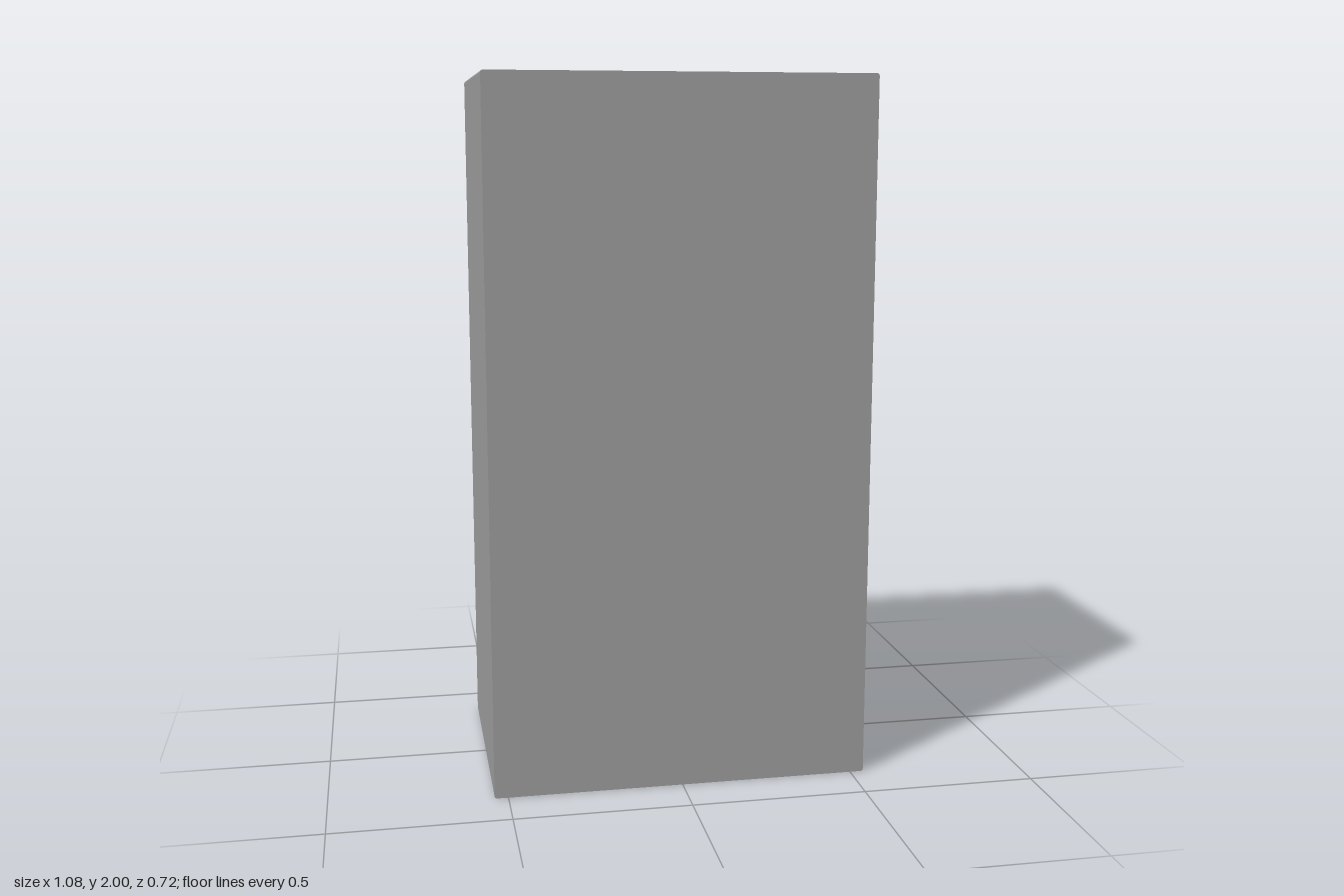
import * as THREE from 'three';
import { RoundedBoxGeometry } from 'three/addons/geometries/RoundedBoxGeometry.js';

const FRONT = 0.352, BACK = -0.357, DEPTH = 0.014, FLOOR = FRONT - DEPTH;
const mat = new THREE.MeshStandardMaterial({ color: 0x9b9b9b, side: THREE.DoubleSide });

function add(parent, name, geometry, x = 0, y = 0, z = 0) {
  const mesh = new THREE.Mesh(geometry, mat);
  mesh.name = name;
  mesh.position.set(x, y, z);
  parent.add(mesh);
}

// Rounded rectangle path, shrunk by an inset
function roundRect(PathType, [x0, x1, y0, y1, r], inset = 0) {
  const a = x0 + inset, b = x1 - inset, c = y0 + inset, d = y1 - inset;
  const q = Math.max(r - inset, 0.004);
  const p = new PathType();
  p.absarc(b - q, d - q, q, 0, Math.PI / 2);
  p.absarc(a + q, d - q, q, Math.PI / 2, Math.PI);
  p.absarc(a + q, c + q, q, Math.PI, Math.PI * 1.5);
  p.absarc(b - q, c + q, q, Math.PI * 1.5, Math.PI * 2);
  p.closePath();
  return p;
}

// Curved wall running from the frame face down to the floor of a recess
function recessWall(rect, slope) {
  const steps = 6, pos = [], idx = [];
  let n = 0;
  for (let i = 0; i <= steps; i++) {
    const t = (i / steps) * Math.PI / 2;
    const ring = roundRect(THREE.Path, rect, slope * Math.sin(t)).getPoints(6);
    n = ring.length;
    ring.forEach(p => pos.push(p.x, p.y, FRONT - DEPTH * (1 - Math.cos(t))));
  }
  for (let i = 0; i < steps; i++) {
    for (let j = 0; j < n - 1; j++) {
      const a = i * n + j, b = a + 1, c = a + n, d = c + 1;
      idx.push(a, b, c, b, d, c);
    }
  }
  const g = new THREE.BufferGeometry();
  g.setAttribute('position', new THREE.Float32BufferAttribute(pos, 3));
  g.setIndex(idx);
  g.computeVertexNormals();
  return g;
}

export function createModel() {
  const model = new THREE.Group();
  model.name = 'vendingMachine';
  // Built facing +z, then turned so that the door side faces -z
  const cabinet = new THREE.Group();
  cabinet.name = 'cabinet';
  cabinet.rotation.y = Math.PI;
  model.add(cabinet);

  // Cabinet outline with small rounded corners, open underneath
  const W = 0.539, R = 0.007, outline = [];
  for (const [x, y, start] of [[W - R, R, -90], [W - R, 2 - R, 0], [R - W, 2 - R, 90], [R - W, R, 180]]) {
    for (let i = 0; i <= 3; i++) {
      const a = THREE.MathUtils.degToRad(start + i * 30);
      outline.push(new THREE.Vector2(x + R * Math.cos(a), y + R * Math.sin(a)));
    }
  }
  const shell = [];
  for (let i = 0; i < outline.length - 1; i++) {
    const p = outline[i], q = outline[i + 1];
    const A = [p.x, p.y, FRONT], B = [p.x, p.y, BACK], C = [q.x, q.y, BACK], D = [q.x, q.y, FRONT];
    shell.push(...A, ...B, ...C, ...A, ...C, ...D);
  }
  const shellGeo = new THREE.BufferGeometry();
  shellGeo.setAttribute('position', new THREE.Float32BufferAttribute(shell, 3));
  shellGeo.computeVertexNormals();
  add(cabinet, 'sidesAndTop', shellGeo);
  const rear = new THREE.ShapeGeometry(new THREE.Shape(outline));
  rear.rotateY(Math.PI);
  add(cabinet, 'rearWall', rear, 0, 0, BACK);

  // Recessed panels: x0, x1, y0, y1, corner radius
  const panels = {
    displayDoor: [-0.52, -0.018, 0.027, 1.983, 0.026],
    upperPanel: [0.025, 0.525, 1.437, 1.983, 0.038],
    controlPanel: [0.025, 0.525, 0.517, 1.398, 0.038],
    lowerPanel: [0.025, 0.525, 0.027, 0.473, 0.038],
  };
  const slope = 0.021;
  const face = new THREE.Shape(outline);
  for (const [name, rect] of Object.entries(panels)) {
    face.holes.push(roundRect(THREE.Path, rect));
    add(cabinet, name + 'Wall', recessWall(rect, slope));
    add(cabinet, name, new THREE.ShapeGeometry(roundRect(THREE.Shape, rect, slope), 6), 0, 0, FLOOR);
  }
  add(cabinet, 'doorFrame', new THREE.ShapeGeometry(face, 6), 0, 0, FRONT);

  // Ridge between the payment area and the buttons
  add(cabinet, 'dividerRidge', new THREE.BoxGeometry(0.458, 0.008, 0.01), 0.275, 1.042, FLOOR);

  // Selection buttons, four by three
  for (let row = 0; row < 3; row++) {
    for (let col = 0; col < 4; col++) {
      add(cabinet, 'selectionButton', new RoundedBoxGeometry(0.083, 0.13, 0.02, 2, 0.004),
        0.13 + col * 0.096, 0.934 - row * 0.144, FLOOR);
    }
  }

  // Banknote slot: side profile (depth, height) swept across its width
  const profile = [[-0.004, 1.085], [0.012, 1.085], [0.018, 1.1], [0.021, 1.105], [0.021, 1.12],
    [0.019, 1.128], [0.014, 1.132], [0.014, 1.145], [0.017, 1.16], [0.012, 1.167], [-0.004, 1.167]];
  const note = new THREE.ExtrudeGeometry(
    new THREE.Shape(profile.map(([z, y]) => new THREE.Vector2(z, y))),
    { depth: 0.15, bevelEnabled: false });
  note.rotateY(-Math.PI / 2);
  add(cabinet, 'banknoteSlot', note, 0.23, 0, FLOOR);
  for (let i = 0; i < 5; i++) {
    add(cabinet, 'banknoteSlotRib', new THREE.BoxGeometry(0.006, 0.014, 0.006),
      0.105 + i * 0.025, 1.138, FLOOR + 0.014);
  }

  // Coin return knob and lock
  for (const [name, x, y, r] of [['coinReturnKnob', 0.349, 1.125, 0.026], ['lock', 0.4, 1.096, 0.011]]) {
    const disc = new THREE.CylinderGeometry(r * 0.92, r, 0.014, 24);
    disc.rotateX(Math.PI / 2);
    add(cabinet, name, disc, x, y, FLOOR + 0.002);
  }
  add(cabinet, 'coinReturnGrip', new THREE.BoxGeometry(0.008, 0.042, 0.008), 0.349, 1.125, FLOOR + 0.009);

  // Coin slot plate
  add(cabinet, 'coinPlate', new RoundedBoxGeometry(0.038, 0.13, 0.018, 2, 0.004), 0.462, 1.19, FLOOR);
  add(cabinet, 'coinSlot', new THREE.BoxGeometry(0.008, 0.06, 0.006), 0.462, 1.205, FLOOR + 0.008);

  return model;
}
